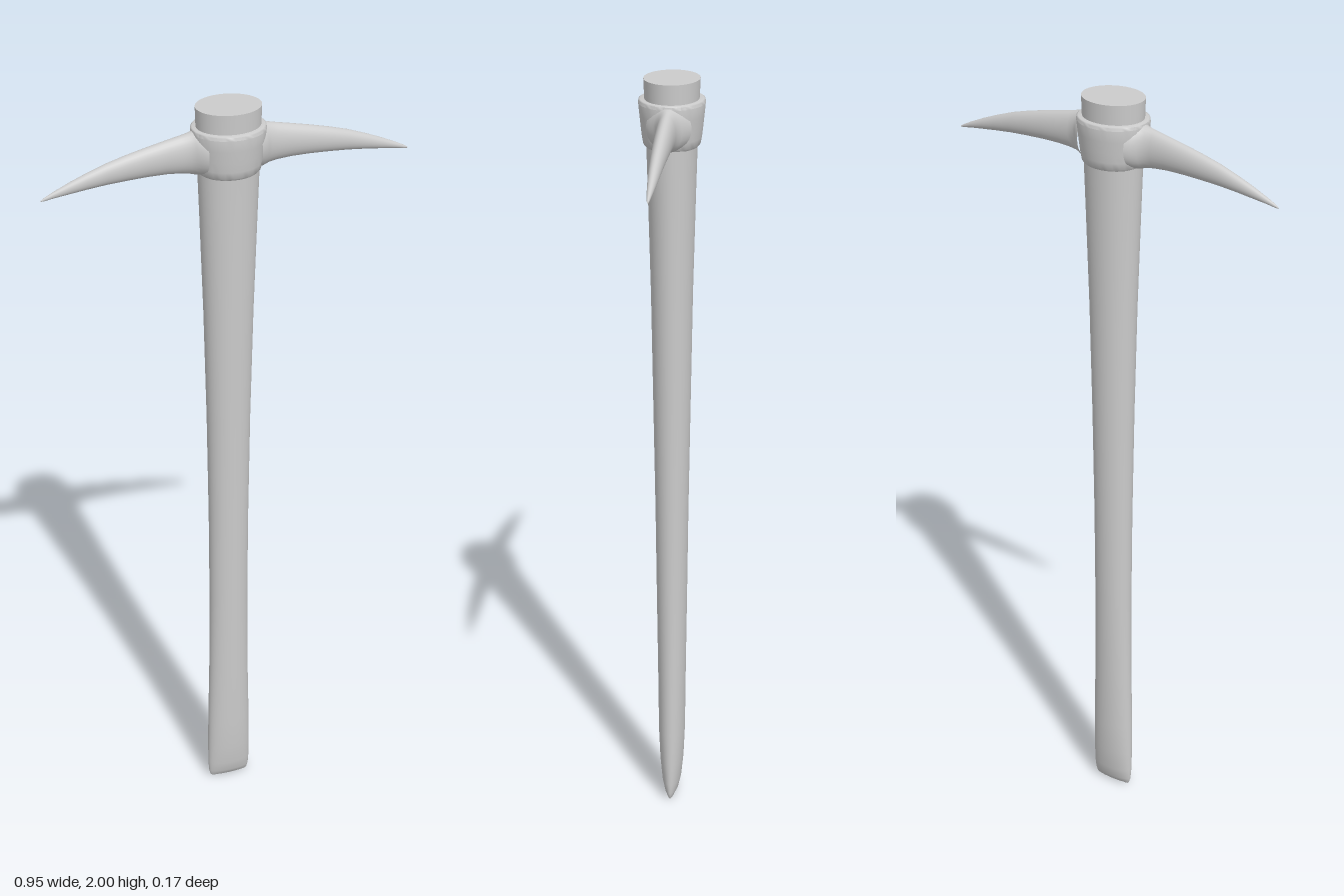
import * as THREE from 'three';
import { toCreasedNormals } from 'three/addons/utils/BufferGeometryUtils.js';

const material = new THREE.MeshStandardMaterial({ color: 0xcccccc });

// Skin a list of sections; point(section, angle) gives [x, y, z] on each ring.
function loft(sections, sides, point) {
  const positions = [], index = [];
  sections.forEach((section, s) => {
    for (let i = 0; i < sides; i++) {
      positions.push(...point(section, (i / sides) * Math.PI * 2));
      if (s === 0) continue;
      const j = (i + 1) % sides, low = (s - 1) * sides, high = s * sides;
      index.push(low + i, low + j, high + j, low + i, high + j, high + i);
    }
  });
  const geometry = new THREE.BufferGeometry();
  geometry.setAttribute('position', new THREE.Float32BufferAttribute(positions, 3));
  geometry.setIndex(index);
  geometry.computeVertexNormals();
  return geometry;
}

function addMesh(parent, name, geometry) {
  const mesh = new THREE.Mesh(geometry, material);
  mesh.name = name;
  parent.add(mesh);
  return mesh;
}

export function createModel() {
  const model = new THREE.Group();
  model.name = 'pickaxe';

  // Handle: oval shaft, flaring to the top and pinched to an edge at the foot
  // [half width, height, half depth]
  const shaft = [
    [0.047, 0, 0.002], [0.053, 0.005, 0.010], [0.057, 0.02, 0.018], [0.059, 0.05, 0.025],
    [0.059, 0.11, 0.031], [0.058, 0.2, 0.035], [0.054, 0.38, 0.037], [0.052, 0.6, 0.040],
    [0.053, 0.85, 0.043], [0.057, 1.15, 0.048], [0.064, 1.45, 0.053], [0.073, 1.72, 0.060],
    [0.078, 1.86, 0.064], [0.082, 2, 0.070],
  ];
  const handle = new THREE.Group();
  handle.name = 'handle';
  model.add(handle);
  addMesh(handle, 'handleShaft', loft(shaft, 40,
    ([hx, y, hz], a) => [hx * Math.sin(a), y, hz * Math.cos(a)]));
  const end = addMesh(handle, 'handleTop', new THREE.CircleGeometry(1, 40));
  end.rotation.x = -Math.PI / 2;
  end.scale.set(0.082, 0.070, 1);
  end.position.y = 2;
  const foot = addMesh(handle, 'handleFoot', new THREE.CircleGeometry(1, 40));
  foot.rotation.x = Math.PI / 2;
  foot.scale.set(0.047, 0.002, 1);

  // Head: oval collar round the handle
  const head = new THREE.Group();
  head.name = 'head';
  model.add(head);
  const profile = [
    [0.058, 1.836], [0.066, 1.832], [0.071, 1.838], [0.074, 1.855], [0.077, 1.88],
    [0.080, 1.91], [0.083, 1.94], [0.082, 1.948], [0.079, 1.95], [0.060, 1.95],
  ].map(([r, y]) => new THREE.Vector2(r, y));
  const collar = new THREE.LatheGeometry(profile, 48).scale(1.13, 1, 1);
  addMesh(head, 'collar', toCreasedNormals(collar, 0.9));

  // Tines: curved spikes that flare into the collar
  // [x, top, bottom, half depth]
  const spike = [
    [0.068, 1.948, 1.833, 0.056], [0.082, 1.947, 1.834, 0.046], [0.092, 1.945, 1.836, 0.036],
    [0.104, 1.942, 1.839, 0.028], [0.122, 1.938, 1.842, 0.024], [0.16, 1.930, 1.845, 0.0225],
    [0.21, 1.919, 1.845, 0.021], [0.26, 1.907, 1.843, 0.019], [0.31, 1.893, 1.840, 0.0165],
    [0.36, 1.875, 1.835, 0.0135], [0.40, 1.859, 1.830, 0.0105], [0.44, 1.841, 1.825, 0.0065],
    [0.462, 1.830, 1.821, 0.0035], [0.473, 1.823, 1.820, 0.0008],
  ];
  const tine = loft(spike, 28, ([x, top, bottom, hz], a) =>
    [x, (top + bottom) / 2 + ((top - bottom) / 2) * Math.cos(a), hz * Math.sin(a)]);
  addMesh(head, 'leftTine', tine);
  addMesh(head, 'rightTine', tine).rotation.y = Math.PI;

  return model;
}
